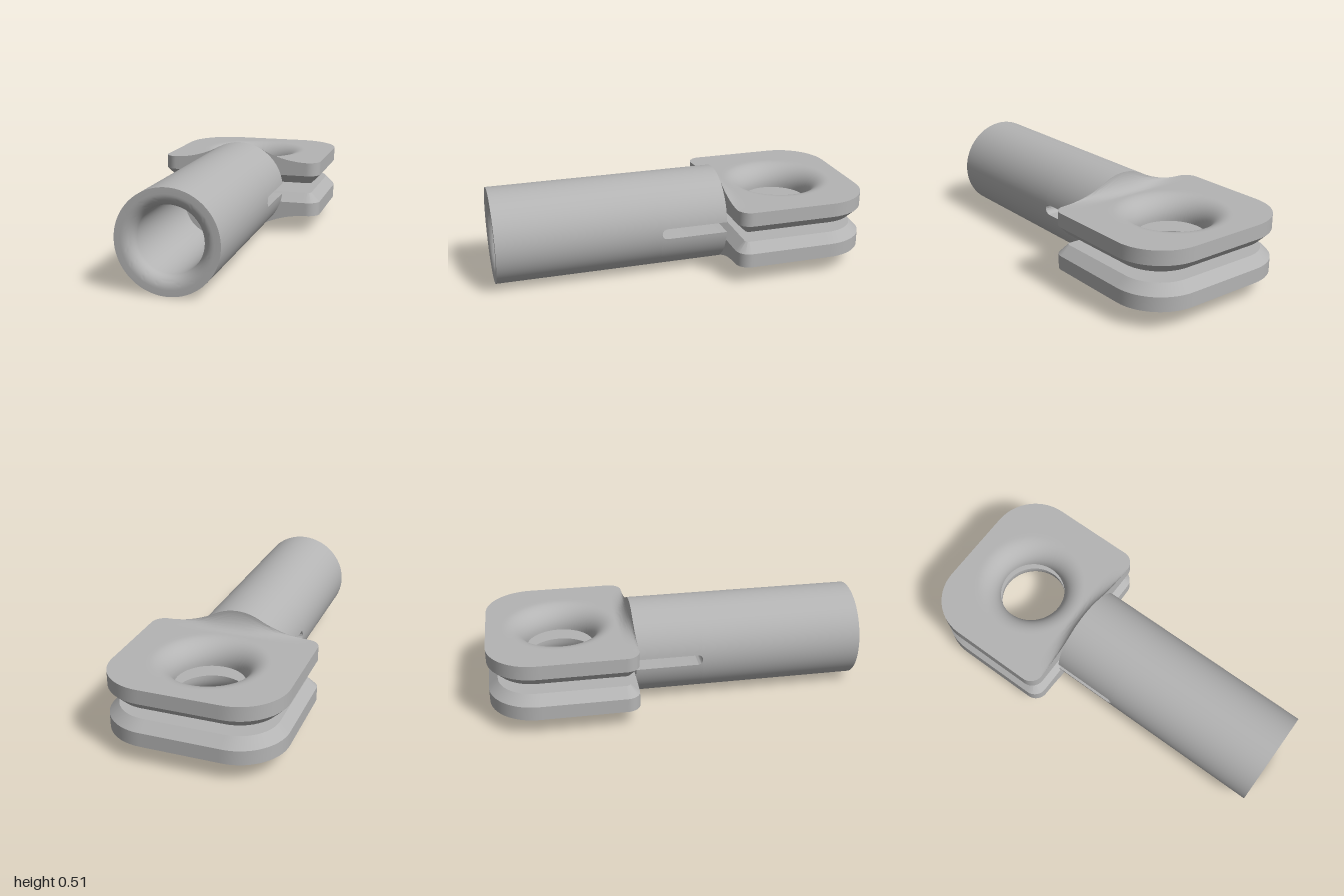
import * as THREE from 'three';
import { toCreasedNormals } from 'three/addons/utils/BufferGeometryUtils.js';

const R = 0.256;                      // tube radius, also the height of its axis
const GAP = 0.0285;                   // half height of the slot
const TOP = 0.154;                    // outer plate face, measured from the axis
const BACK = -1, FRONT = -0.23;       // plate ends in z
const HALF = 0.46;                    // plate half width
const HOLE_Z = -0.61, HOLE_R = 0.18, HOLE_LIP = 0.115;

// Skin a series of closed rings; optionally cap the first one
function skin(rings, { closed = false, cap = false } = {}) {
  const n = rings[0].length, m = rings.length, index = [];
  const points = rings.flat();
  for (let k = 0; k < (closed ? m : m - 1); k++) {
    for (let i = 0; i < n; i++) {
      const j = (i + 1) % n, a = k * n, b = ((k + 1) % m) * n;
      index.push(a + i, a + j, b + j, a + i, b + j, b + i);
    }
  }
  if (cap) {
    const c = new THREE.Vector3();
    rings[0].forEach((p) => c.addScaledVector(p, 1 / n));
    points.push(c);
    for (let i = 0; i < n; i++) index.push(points.length - 1, (i + 1) % n, i);
  }
  const g = new THREE.BufferGeometry().setFromPoints(points);
  g.setIndex(index);
  return toCreasedNormals(g, 0.6);
}

// Rounded plate outline, small radii in front and large ones at the back
function outline(inset) {
  const corners = [[1, 1, 0.07], [-1, 1, 0.07], [-1, -1, 0.25], [1, -1, 0.25]];
  const arcs = corners.map(([sx, sz, r], q) => {
    const cx = sx * (HALF - r), cz = sz > 0 ? FRONT - r : BACK + r;
    return Array.from({ length: 15 }, (_, i) => {
      const a = (q + i / 14) * Math.PI / 2;
      return new THREE.Vector3(cx + (r - inset) * Math.cos(a), 0, cz + (r - inset) * Math.sin(a));
    });
  });
  const pts = [];
  arcs.forEach((arc, q) => {
    pts.push(...arc);
    const next = arcs[(q + 1) % 4][0];
    for (let i = 1; i < 32; i++) pts.push(arc[14].clone().lerp(next, i / 32));
  });
  return pts;
}

// Height of the outer plate face: flat, swelling to the tube at its front
function plateTop(x, z) {
  const ax = Math.abs(x), reach = 0.4, sweep = 0.579, touch = 0.1226;
  let h = TOP;
  if (ax < touch) h = Math.sqrt(R * R - ax * ax);
  else if (ax < reach) h = TOP + sweep - Math.sqrt(sweep ** 2 - (reach - ax) ** 2);
  const t = THREE.MathUtils.clamp((FRONT - z) / 0.075, 0, 1);
  return TOP + (h - TOP) * (1 - Math.sqrt(1 - (1 - t) ** 2));
}

function plateGeometry() {
  const edge = outline(0), inner = outline(0.05);
  const atHole = (r, y) => edge.map((p) => {
    const a = Math.atan2(p.z - HOLE_Z, p.x);
    return new THREE.Vector3(r * Math.cos(a), y, HOLE_Z + r * Math.sin(a));
  });
  const rings = [
    inner.map((p) => p.clone().setY(GAP)),
    atHole(HOLE_R, GAP),
  ];
  // Rounded lip of the hole
  for (let i = 0; i <= 12; i++) {
    const a = (i / 12) * Math.PI / 2;
    rings.push(atHole(HOLE_R + HOLE_LIP * (1 - Math.cos(a)), TOP - HOLE_LIP * (1 - Math.sin(a))));
  }
  // Outer face, rows closing up towards the edge
  const lip = rings[rings.length - 1], rows = 28;
  for (let k = 1; k <= rows; k++) {
    const f = 1 - (1 - k / rows) ** 3;
    rings.push(edge.map((p, i) => {
      const v = lip[i].clone().lerp(p, f);
      return v.setY(plateTop(v.x, v.z));
    }));
  }
  // Side wall; the chamfer closes back to the first ring
  rings.push(edge.map((p) => p.clone().setY(GAP + 0.05)));
  return skin(rings, { closed: true });
}

// Half of the slotted tube end, with the slot's round root
function slottedHalfGeometry() {
  const root = 0.1015, rings = [];
  const ring = (z, s) => {
    const a0 = Math.asin(s / R);
    rings.push(Array.from({ length: 49 }, (_, i) => {
      const a = a0 + (Math.PI - 2 * a0) * (i / 48);
      return new THREE.Vector3(R * Math.cos(a), R * Math.sin(a), z);
    }));
  };
  ring(FRONT, GAP);
  for (let i = 0; i <= 10; i++) {
    const a = (i / 10) * Math.PI / 2;
    ring(root + GAP * Math.sin(a), i === 10 ? 0 : GAP * Math.cos(a));
  }
  return skin(rings, { cap: true });
}

// Full tube with a blind bore and rounded mouth
function tubeGeometry() {
  const bore = 0.165, lip = 0.06;
  const pts = [new THREE.Vector2(R, 0.13), new THREE.Vector2(R, 1)];
  for (let i = 0; i <= 10; i++) {
    const a = (i / 10) * Math.PI / 2;
    pts.push(new THREE.Vector2(bore + lip * (1 - Math.sin(a)), 1 - lip * (1 - Math.cos(a))));
  }
  pts.push(new THREE.Vector2(bore, 0.25), new THREE.Vector2(0, 0.25));
  return toCreasedNormals(new THREE.LatheGeometry(pts, 96).rotateX(Math.PI / 2), 0.6);
}

export function createModel() {
  const metal = new THREE.MeshStandardMaterial({ color: 0xb4b4b4 });
  metal.name = 'plain grey metal';
  const model = new THREE.Group();
  model.name = 'forkEnd';
  const add = (parent, geometry, name) => {
    const mesh = new THREE.Mesh(geometry, metal);
    mesh.name = name;
    parent.add(mesh);
  };

  const body = new THREE.Group();
  body.name = 'body';
  body.position.y = R;
  model.add(body);
  add(body, tubeGeometry(), 'tube');

  // Upper and lower jaw, the lower one turned half round the axis
  const plate = plateGeometry(), half = slottedHalfGeometry();
  ['upper', 'lower'].forEach((side, i) => {
    const jaw = new THREE.Group();
    jaw.name = side + 'Jaw';
    jaw.rotation.z = i * Math.PI;
    add(jaw, plate, side + 'Plate');
    add(jaw, half, side + 'SlottedTubeHalf');
    body.add(jaw);
  });
  return model;
}
